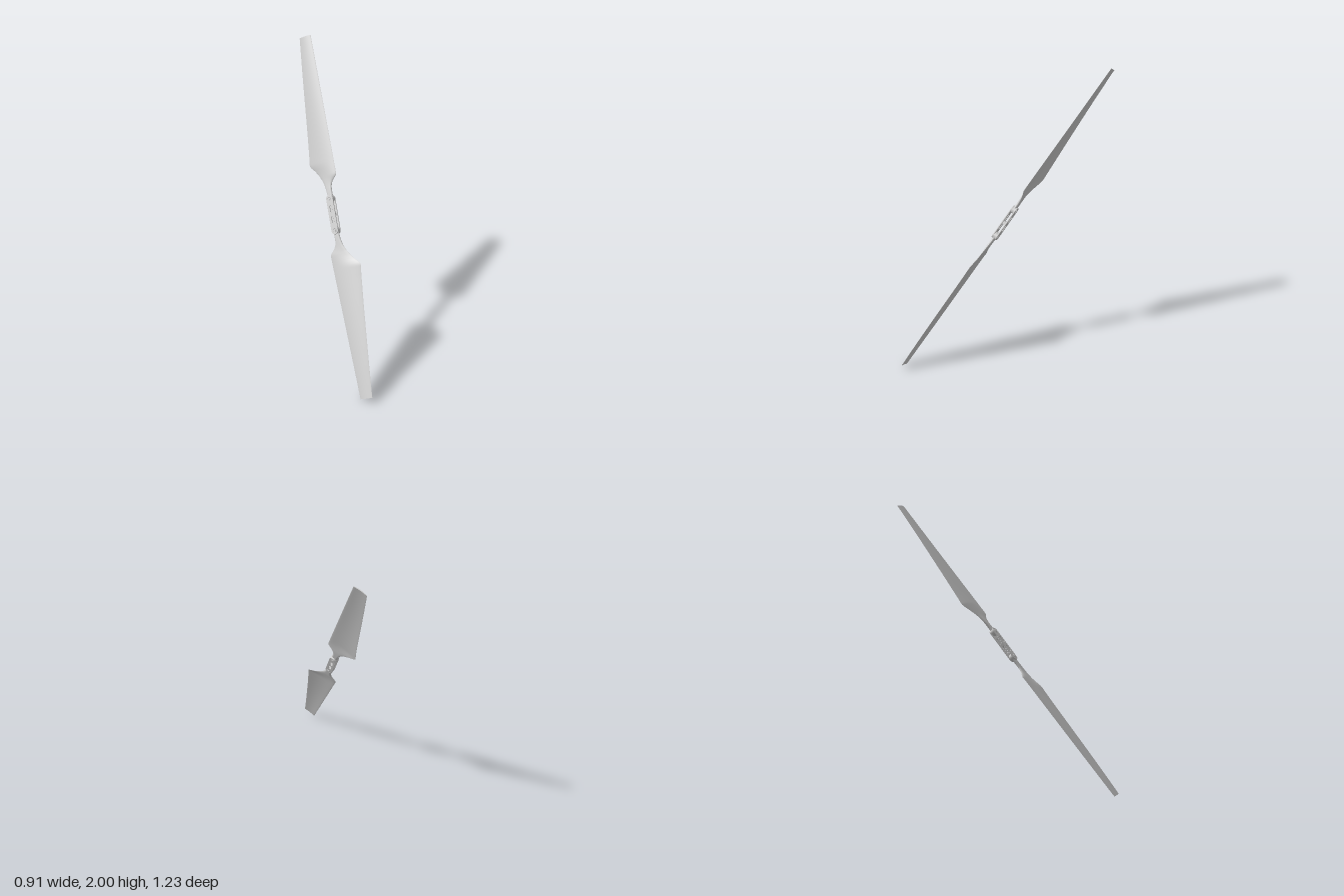
import * as THREE from 'three';

const grey = new THREE.MeshStandardMaterial({ color: 0xcccccc, side: THREE.DoubleSide });
const PIN = 0.107; // distance of each hinge pin from the hub centre

// Planform edges: [distance from hub, offset across the blade]
const LEADING = [[0.1, 0.022], [0.16, 0.019], [0.19, 0.021], [0.213, 0.03], [0.231, 0.043],
  [0.248, 0.062], [0.262, 0.075], [1.225, 0.042]];
const TRAILING = [[0.1, -0.022], [0.14, -0.021], [0.167, -0.024], [0.21, -0.034], [0.249, -0.051],
  [0.285, -0.074], [0.314, -0.098], [0.335, -0.12], [0.353, -0.134], [0.372, -0.135], [0.42, -0.127],
  [0.6, -0.108], [0.9, -0.08], [1.228, -0.049]];

function lookup(list, y) {
  let i = 0;
  while (i < list.length - 2 && y > list[i + 1][0]) i++;
  const [a, b] = [list[i], list[i + 1]];
  return THREE.MathUtils.lerp(a[1], b[1], THREE.MathUtils.clamp((y - a[0]) / (b[0] - a[0]), 0, 1));
}

// Surface through rows of points
function skin(rows, flip) {
  const n = rows[0].length, index = [];
  for (let r = 0; r < rows.length - 1; r++) {
    for (let c = 0; c < n - 1; c++) {
      const a = r * n + c, b = a + 1, d = a + n, e = d + 1;
      index.push(...(flip ? [a, d, b, b, d, e] : [a, b, d, b, e, d]));
    }
  }
  const geo = new THREE.BufferGeometry();
  geo.setAttribute('position', new THREE.Float32BufferAttribute(rows.flat(2), 3));
  geo.setIndex(index);
  geo.computeVertexNormals();
  return geo;
}

function add(parent, geo, name, x = 0, y = 0, z = 0) {
  const m = new THREE.Mesh(geo, grey);
  m.name = name;
  m.position.set(x, y, z);
  parent.add(m);
  return m;
}

// One cambered half of the blade section at station y (side +1 front, -1 back)
function section(y, side) {
  const lead = lookup(LEADING, y), trail = lookup(TRAILING, y), chord = lead - trail;
  const root = 1 - THREE.MathUtils.smoothstep(y, 0.13, 0.32);
  const thick = THREE.MathUtils.lerp(0.012 - 0.005 * (y - 0.3), 0.018, root);
  const twist = 0.075 * THREE.MathUtils.smoothstep(y, 0.1, 0.3) * (1 - THREE.MathUtils.smoothstep(y, 0.3, 1.2));
  const row = [];
  for (let i = 0; i <= 14; i++) {
    const f = (1 - Math.cos(Math.PI * i / 14)) / 2; // 0 trailing, 1 leading
    const x = trail + chord * f;
    const foil = 1.9 * Math.sqrt(f) * (1 - f) ** 0.5 * (0.65 + 0.35 * f);
    const oval = Math.min(1, 2.6 * Math.sqrt(f * (1 - f)));
    const half = thick / 2 * THREE.MathUtils.lerp(foil, oval, root);
    const camber = 0.05 * chord * 4 * f * (1 - f) * (1 - root);
    row.push([x, y, twist * (x - 0.04) * (1 - root) + camber + side * half]);
  }
  return row;
}

function blade(name, swing) {
  const g = new THREE.Group();
  g.name = name;
  const ys = [];
  for (let i = 0; i <= 28; i++) ys.push(0.107 + i * 0.0095);
  for (let i = 1; i <= 20; i++) ys.push(0.373 + i * (1.226 - 0.373) / 20);
  const front = ys.map(y => section(y, 1)), back = ys.map(y => section(y, -1));
  add(g, skin(front, false), 'bladeFront', 0, -PIN);
  add(g, skin(back, true), 'bladeBack', 0, -PIN);
  add(g, skin([front.at(-1), back.at(-1)], false), 'bladeTip', 0, -PIN);
  // Hinge eye
  const eye = new THREE.CylinderGeometry(0.026, 0.026, 0.02, 28).rotateX(Math.PI / 2);
  add(g, eye, 'hingeEye');
  g.position.y = PIN;
  g.rotation.z = swing;
  return g;
}

// Rounded slot outline along y
function slot(path, y0, y1, r) {
  path.absarc(0, y1, r, 0, Math.PI, false);
  path.absarc(0, y0, r, Math.PI, Math.PI * 2, false);
  path.closePath();
  return path;
}

function hub() {
  const g = new THREE.Group();
  g.name = 'hub';
  const plate = slot(new THREE.Shape(), -PIN, PIN, 0.026);
  for (const s of [-1, 1]) plate.holes.push(slot(new THREE.Path(), s * 0.037 - 0.016, s * 0.037 + 0.016, 0.009));
  const geo = new THREE.ExtrudeGeometry(plate, {
    depth: 0.005, bevelSize: 0.0015, bevelThickness: 0.0015, bevelSegments: 2, curveSegments: 16, bevelOffset: -0.0015
  });
  // Clamp plates either side of the blade roots
  add(g, geo, 'frontPlate', 0, 0, 0.0115);
  add(g, geo, 'backPlate', 0, 0, -0.0165);
  // Spacer between the slots
  add(g, new THREE.BoxGeometry(0.034, 0.02, 0.024), 'spacer');
  // Hinge pins with heads
  for (const s of [-1, 1]) {
    const pin = new THREE.CylinderGeometry(0.008, 0.008, 0.044, 20).rotateX(Math.PI / 2);
    add(g, pin, 'hingePin', 0, s * PIN, 0);
    for (const f of [-1, 1]) {
      add(g, new THREE.TorusGeometry(0.013, 0.002, 8, 24), 'pinWasher', 0, s * PIN, f * 0.018);
    }
  }
  return g;
}

export function createModel() {
  const model = new THREE.Group();
  model.name = 'foldingPropeller';
  const prop = new THREE.Group();
  prop.name = 'propeller';
  prop.add(hub(), blade('upperBlade', -0.013));

  // Opposite blade, half a turn about the hub axis
  const lower = new THREE.Group();
  lower.name = 'lowerBladeMount';
  lower.rotation.z = Math.PI;
  lower.add(blade('lowerBlade', 0.013));
  prop.add(lower);

  // Lean the propeller disc
  const along = new THREE.Vector3(-0.335, 0.801, -0.496).normalize();
  const axis = new THREE.Vector3(0.897, 0.433, 0.093).cross(along).normalize();
  const across = new THREE.Vector3().crossVectors(along, axis);
  prop.quaternion.setFromRotationMatrix(new THREE.Matrix4().makeBasis(across, along, axis));
  prop.position.set(-0.012, 0.998, -0.003);
  model.add(prop);
  return model;
}
